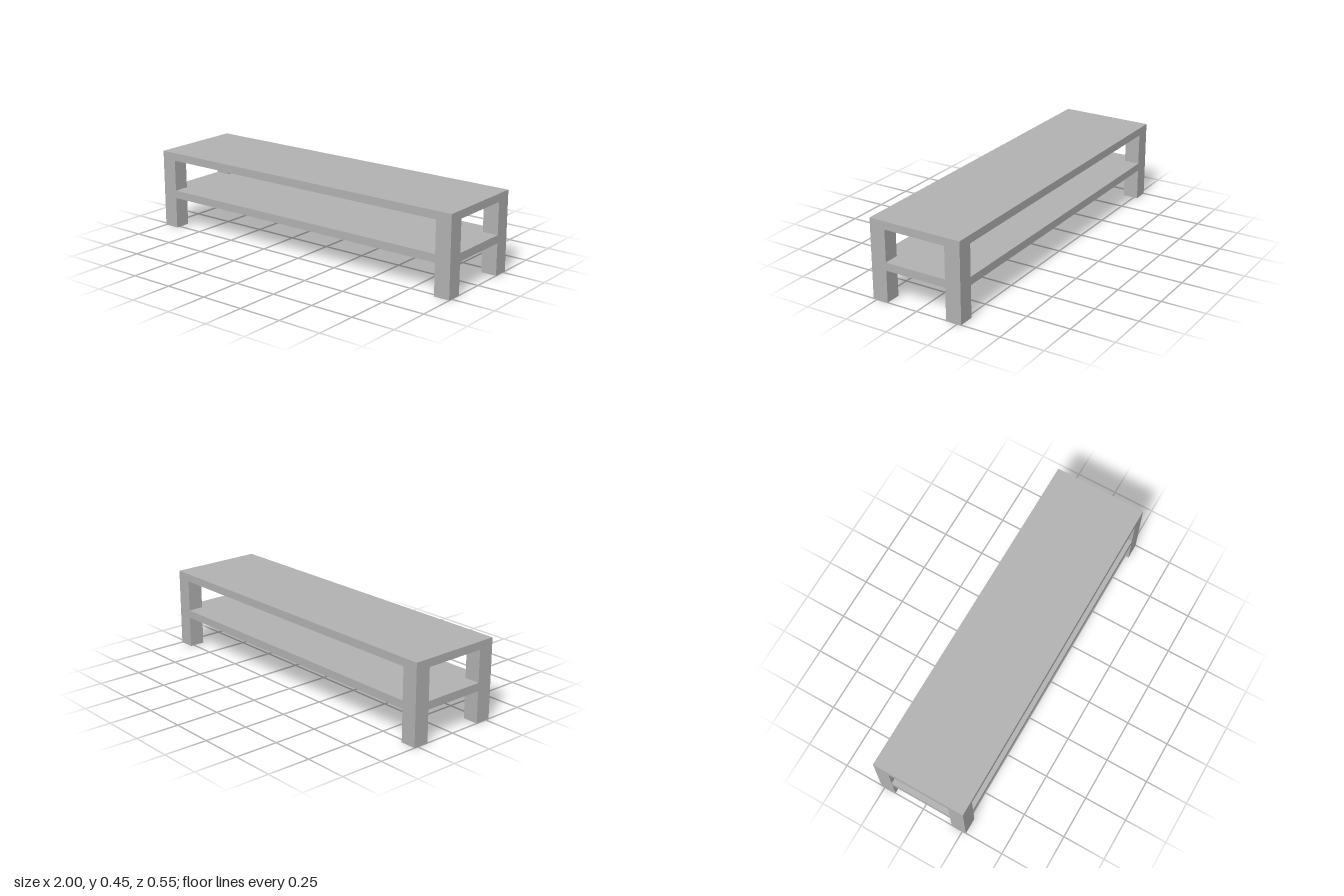
import * as THREE from 'three';

const LENGTH = 2;
const DEPTH = 0.5455;
const BOARD = 0.0455; // board thickness
const LEG = 0.0909; // square leg side
const SHELF_Y = 0.1818; // underside of the shelf
const TOP_Y = 0.4091; // underside of the top

export function createModel() {
  const model = new THREE.Group();
  model.name = 'lowTable';
  const grey = new THREE.MeshStandardMaterial({ color: 0xb2b2b2 });
  grey.name = 'grey';

  // Box placed by the height of its underside
  const addBox = (parent, name, w, h, d, x, y, z) => {
    const mesh = new THREE.Mesh(new THREE.BoxGeometry(w, h, d), grey);
    mesh.name = name;
    mesh.position.set(x, y + h / 2, z);
    parent.add(mesh);
  };

  // Full-size top and shelf boards
  addBox(model, 'top', LENGTH, BOARD, DEPTH, 0, TOP_Y, 0);
  addBox(model, 'shelf', LENGTH, BOARD, DEPTH, 0, SHELF_Y, 0);

  // Corner legs, flush with the boards and split by the shelf
  const shelfTop = SHELF_Y + BOARD;
  for (const [side, sx] of [['Left', 1], ['Right', -1]]) {
    for (const [end, sz] of [['front', 1], ['back', -1]]) {
      const leg = new THREE.Group();
      leg.name = `${end}${side}Leg`;
      const x = sx * (LENGTH - LEG) / 2;
      const z = sz * (DEPTH - LEG) / 2;
      addBox(leg, 'lowerLeg', LEG, SHELF_Y, LEG, x, 0, z);
      addBox(leg, 'upperLeg', LEG, TOP_Y - shelfTop, LEG, x, shelfTop, z);
      model.add(leg);
    }
  }
  return model;
}
